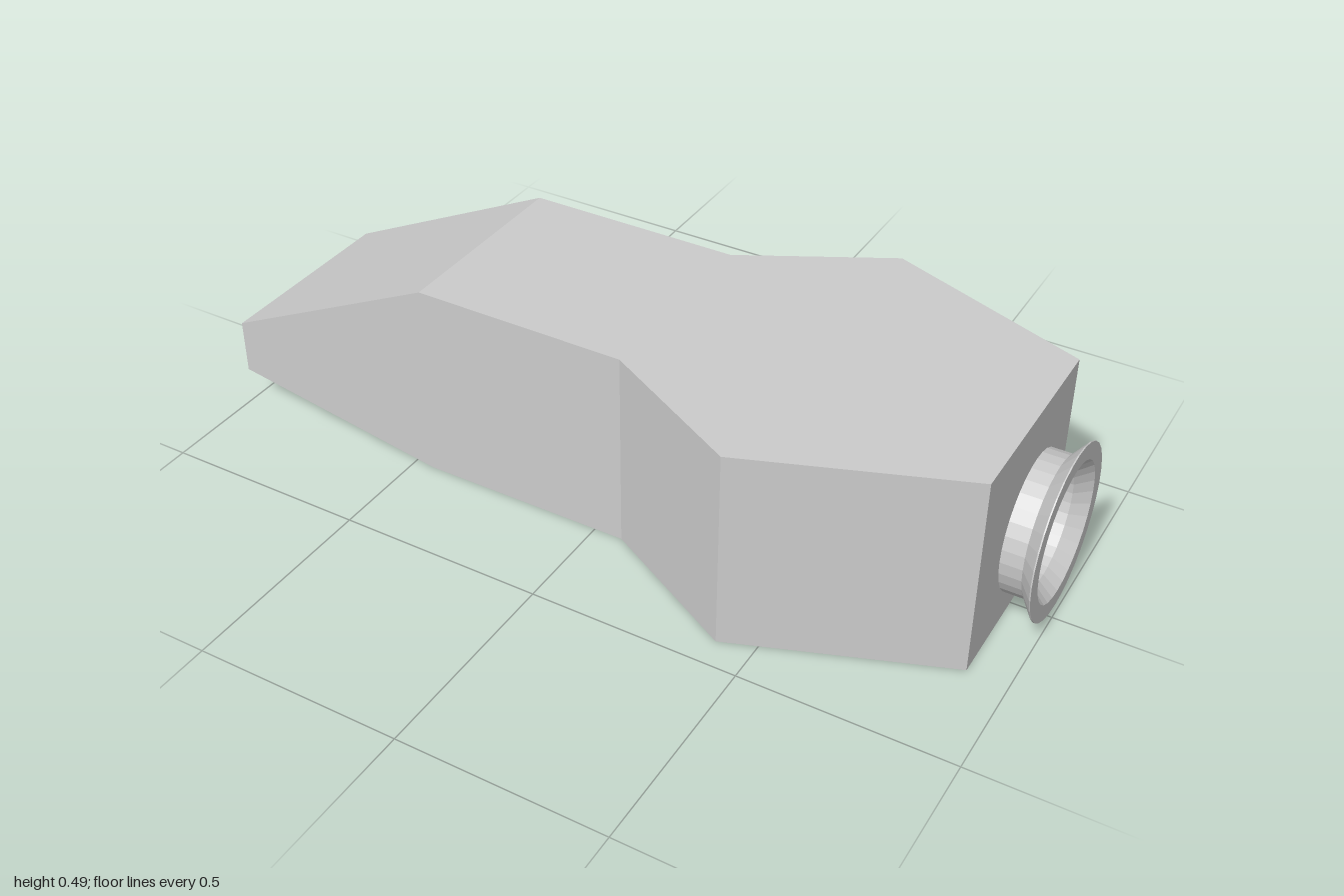
import * as THREE from 'three';

const material = new THREE.MeshStandardMaterial({ color: 0xcccccc, flatShading: true });

// Rectangular cross-sections along x: [x, bottom, top, back z, front z]
const sections = [
  [-1.0, 0.09, 0.225, -0.248, 0.243],
  [-0.45, 0, 0.49, -0.248, 0.243],
  [0.07, 0, 0.49, -0.248, 0.243],
  [0.415, 0, 0.49, -0.433, 0.43],
  [0.905, 0, 0.49, -0.248, 0.243],
];

function hullGeometry() {
  const positions = [];
  const indices = [];
  for (const [x, y0, y1, z0, z1] of sections) {
    positions.push(x, y0, z1, x, y0, z0, x, y1, z0, x, y1, z1);
  }
  const quad = (a, b, c, d) => indices.push(a, b, c, a, c, d);
  // Side walls between neighbouring sections
  for (let i = 0; i < sections.length - 1; i++) {
    for (let j = 0; j < 4; j++) {
      const a = i * 4 + j;
      const b = i * 4 + (j + 1) % 4;
      quad(a, b, b + 4, a + 4);
    }
  }
  // End caps
  const last = (sections.length - 1) * 4;
  quad(3, 2, 1, 0);
  quad(last, last + 1, last + 2, last + 3);

  const indexed = new THREE.BufferGeometry();
  indexed.setAttribute('position', new THREE.Float32BufferAttribute(positions, 3));
  indexed.setIndex(indices);
  const geometry = indexed.toNonIndexed();
  geometry.computeVertexNormals();
  return geometry;
}

function nozzleGeometry() {
  // Closed wall profile: straight collar, then a flared lip
  const profile = [
    [0.13, 0], [0.16, 0], [0.16, 0.05], [0.2, 0.082],
    [0.2, 0.085], [0.16, 0.085], [0.13, 0.05], [0.13, 0],
  ].map(([r, h]) => new THREE.Vector2(r, h));
  const geometry = new THREE.LatheGeometry(profile, 32).toNonIndexed();
  geometry.computeVertexNormals();
  return geometry;
}

export function createModel() {
  const model = new THREE.Group();
  model.name = 'hullWithNozzle';

  const hull = new THREE.Mesh(hullGeometry(), material);
  hull.name = 'hull';
  model.add(hull);

  // Flared ring just clear of the rear face
  const nozzle = new THREE.Mesh(nozzleGeometry(), material);
  nozzle.name = 'nozzle';
  nozzle.rotation.z = -Math.PI / 2;
  nozzle.position.set(0.915, 0.23, -0.008);
  model.add(nozzle);

  return model;
}
